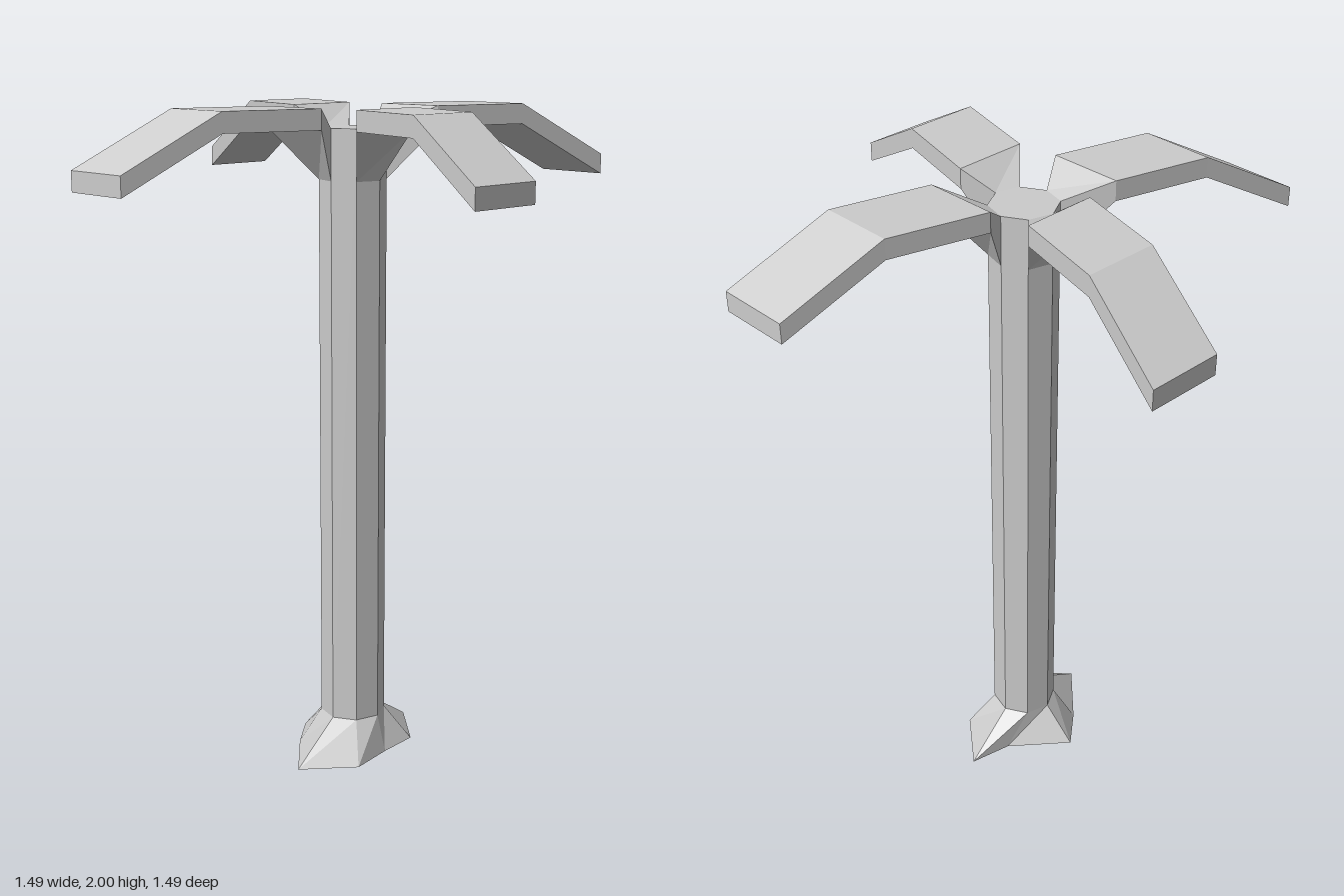
import * as THREE from 'three';

const material = new THREE.MeshStandardMaterial({ color: 0xcccccc, flatShading: true });

// Skins a row of equal-length rings and closes both ends with fans.
function loft(rings) {
  const pos = [];
  const tri = (...pts) => pts.forEach((p) => pos.push(...p));
  const n = rings[0].length;
  const centre = (ring) => [0, 1, 2].map((k) => ring.reduce((s, p) => s + p[k], 0) / n);
  const first = rings[0], last = rings[rings.length - 1];
  const c0 = centre(first), c1 = centre(last);
  for (let j = 0; j < n; j++) {
    const k = (j + 1) % n;
    for (let i = 0; i < rings.length - 1; i++) {
      const a = rings[i], b = rings[i + 1];
      tri(a[j], a[k], b[k]);
      tri(a[j], b[k], b[j]);
    }
    tri(c0, first[k], first[j]);
    tri(c1, last[j], last[k]);
  }
  const geometry = new THREE.BufferGeometry();
  geometry.setAttribute('position', new THREE.Float32BufferAttribute(pos, 3));
  geometry.computeVertexNormals();
  return geometry;
}

function addPart(parent, name, geometry) {
  const mesh = new THREE.Mesh(geometry, material);
  mesh.name = name;
  parent.add(mesh);
  return mesh;
}

export function createModel() {
  const group = new THREE.Group();
  group.name = 'palmTree';
  const R = 0.1, D = R * Math.SQRT1_2;
  const baseTop = 0.115, trunkTop = 1.94;

  // Straight octagonal trunk
  const trunk = new THREE.CylinderGeometry(R, R, trunkTop - baseTop, 8);
  trunk.translate(0, (trunkTop + baseTop) / 2, 0);
  addPart(group, 'trunk', trunk);

  // Uneven root flare: an irregular footprint rising to the trunk octagon
  const footprint = [
    [0.13, 0], [0.135, -0.13], [0, -0.27], [-0.045, -0.145],
    [-0.2, 0], [-0.13, 0.11], [0, 0.27], [0.135, 0.14],
  ];
  const collar = footprint.map((_, i) => {
    const a = (i * Math.PI) / 4;
    return [R * Math.cos(a), baseTop, -R * Math.sin(a)];
  });
  addPart(group, 'rootFlare', loft([footprint.map(([x, z]) => [x, 0, z]), collar]));

  // Frond: tapered root on one trunk face, level blade, then a drooping tip
  const section = ([ax, az], [bx, bz], low, high) => [
    [bx, low, bz], [ax, low, az], [ax, high, az], [bx, high, bz],
  ];
  const frond = loft([
    section([R, 0], [D, D], 1.79, trunkTop),
    section([0.19, -0.04], [0.163, 0.187], 1.94, 2),
    section([0.47, 0.075], [0.44, 0.3], 1.94, 2),
    section([0.747, 0.187], [0.717, 0.415], 1.78, 1.84),
  ]);
  const crown = new THREE.Group();
  crown.name = 'crown';
  for (let i = 0; i < 4; i++) {
    addPart(crown, 'frond' + (i + 1), frond).rotation.y = (i * Math.PI) / 2;
  }
  group.add(crown);
  return group;
}
